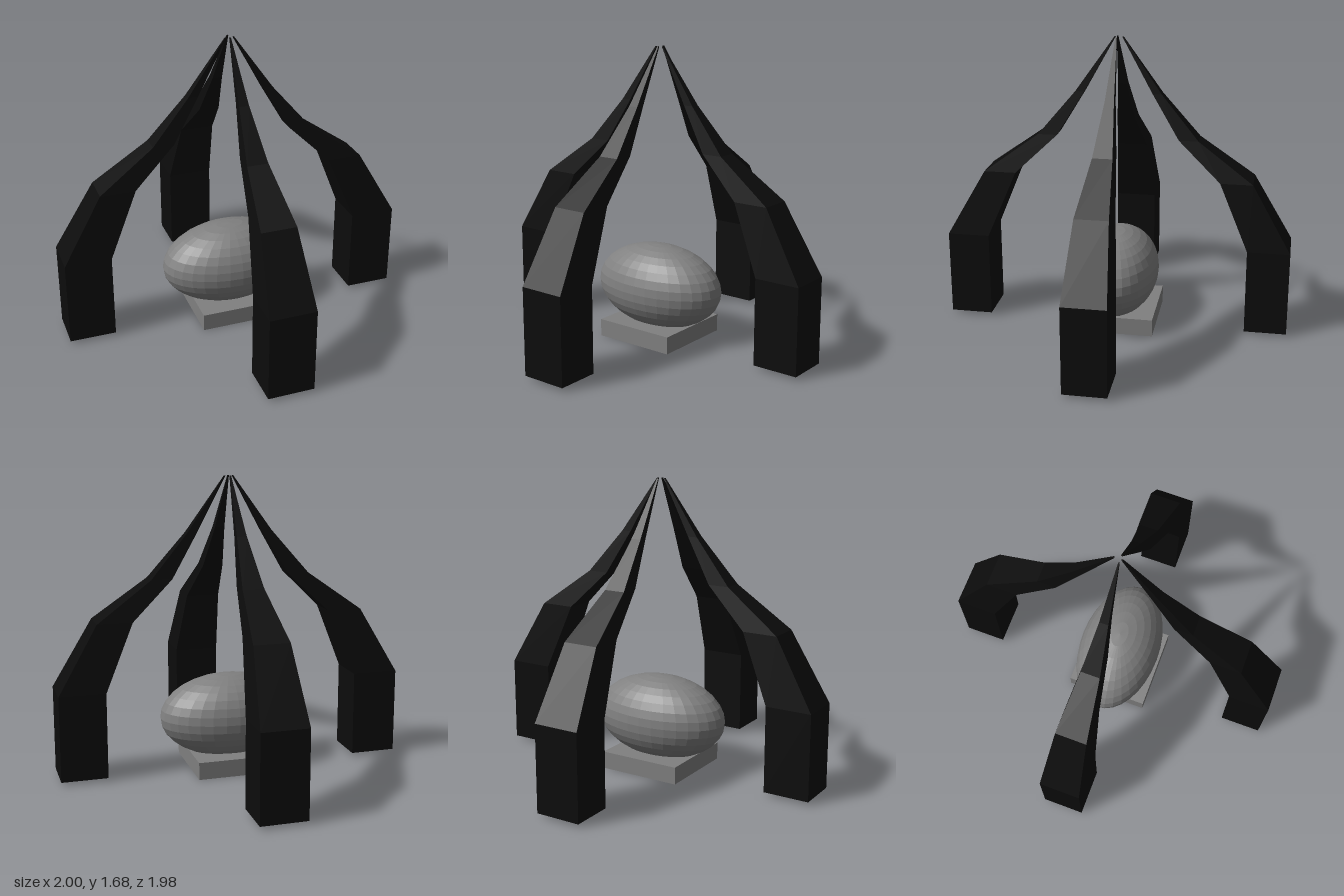
import * as THREE from 'three';

const DEPTH = 0.91; // every part is slightly squashed in z
const OFFSET_Z = 0.012; // the centre parts sit a little forward

// Leg cross-sections from foot to tip: [height, distance from centre, half width]
const SECTIONS = [
  [0.02, 0.868, 0.132],
  [0.51, 0.868, 0.132],
  [0.895, 0.675, 0.1],
  [1.12, 0.4, 0.06],
  [1.37, 0.218, 0.028],
  [1.68, 0.022, 0.004],
];

// A box with one row of vertices per section, bent outwards along (dirX, dirZ)
function legGeometry(dirX, dirZ) {
  const rows = SECTIONS.length - 1;
  const geometry = new THREE.BoxGeometry(2, rows, 2, 1, rows, 1);
  const p = geometry.attributes.position;
  for (let i = 0; i < p.count; i++) {
    const [y, reach, half] = SECTIONS[Math.round(p.getY(i) + rows / 2)];
    p.setXYZ(i,
      dirX * reach + p.getX(i) * half,
      y,
      dirZ * reach + p.getZ(i) * half * DEPTH);
  }
  geometry.computeVertexNormals();
  return geometry;
}

export function createModel() {
  const model = new THREE.Group();
  const black = new THREE.MeshStandardMaterial({ color: 0x0c0c0c, flatShading: true });
  const grey = new THREE.MeshStandardMaterial({ color: 0x808080, flatShading: true });

  const add = (name, geometry, material, x, y, z) => {
    const mesh = new THREE.Mesh(geometry, material);
    mesh.name = name;
    mesh.position.set(x, y, z);
    model.add(mesh);
    return mesh;
  };

  // Four bent legs meeting at the top
  add('leftLeg', legGeometry(1, 0), black, 0, 0, OFFSET_Z);
  add('rightLeg', legGeometry(-1, 0), black, 0, 0, OFFSET_Z);
  add('frontLeg', legGeometry(0, 1), black, 0, 0, 0);
  add('backLeg', legGeometry(0, -1), black, 0, 0, 0);

  // Plinth with the egg-shaped stone resting in it
  add('plinth', new THREE.BoxGeometry(0.486, 0.1, 0.486), grey, 0, 0.05, OFFSET_Z);
  const stone = add('stone', new THREE.SphereGeometry(1, 32, 16), grey, 0, 0.3, OFFSET_Z);
  stone.scale.set(0.405, 0.243, 0.243);

  return model;
}
